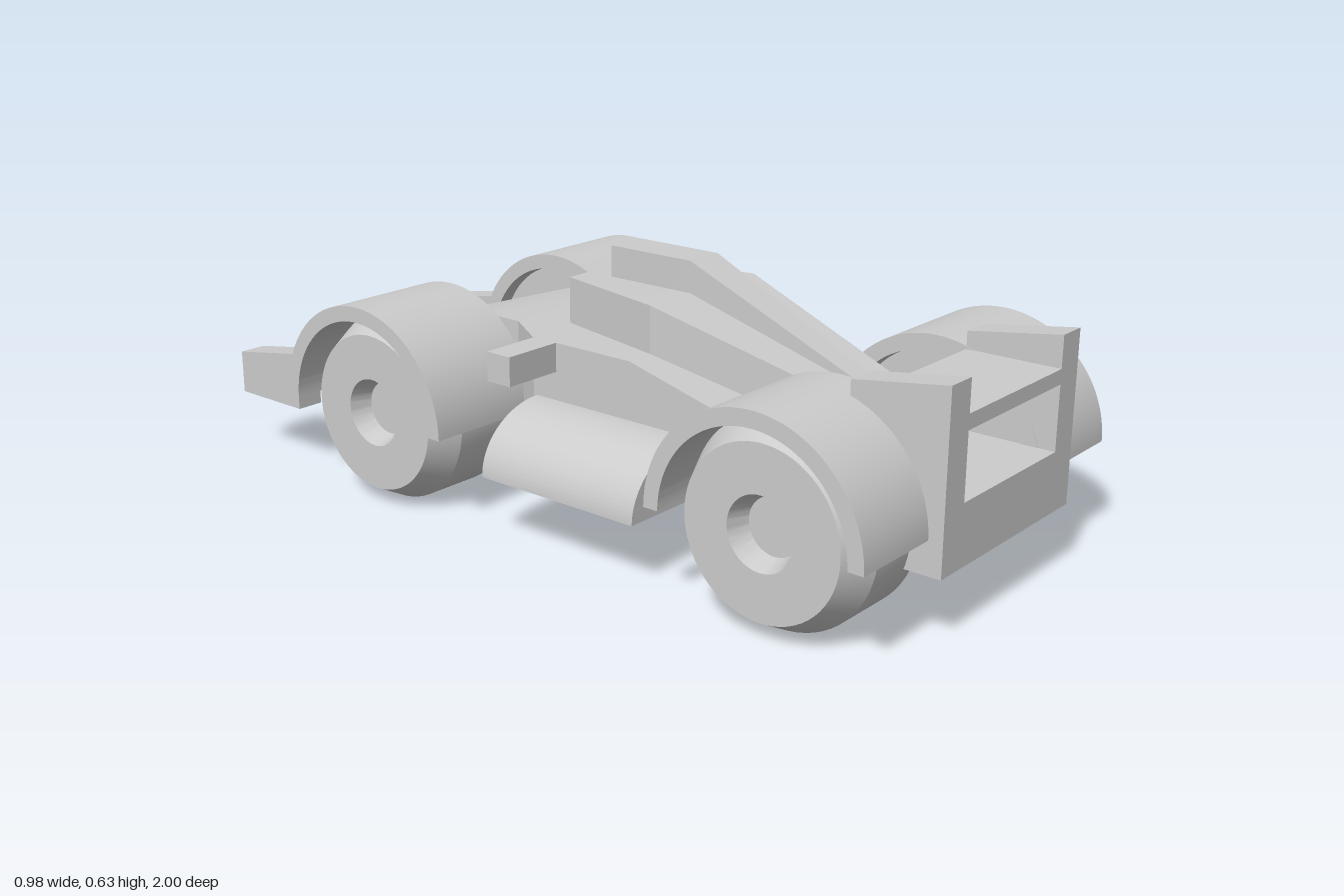
import * as THREE from 'three';
import { toCreasedNormals } from 'three/addons/utils/BufferGeometryUtils.js';

const grey = new THREE.MeshStandardMaterial({ color: 0xcccccc });
const FLOOR = 0.155, AXLE_Y = 0.23;

function part(parent, name, geometry) {
  const mesh = new THREE.Mesh(toCreasedNormals(geometry, 0.4), grey);
  mesh.name = name;
  parent.add(mesh);
  return mesh;
}

// Solid through rectangular sections [z, halfWidth, bottom, top], listed from +z to -z
function loft(sections) {
  const rings = sections.map(([z, w, b, t]) => [[-w, b, z], [w, b, z], [w, t, z], [-w, t, z]]);
  const pos = [];
  const quad = (a, b, c, d) => pos.push(...a, ...b, ...c, ...a, ...c, ...d);
  quad(...rings[0]);
  for (let i = 0; i < rings.length - 1; i++) {
    const p = rings[i], q = rings[i + 1];
    for (let k = 0; k < 4; k++) {
      const n = (k + 1) % 4;
      quad(p[k], q[k], q[n], p[n]);
    }
  }
  quad(...rings[rings.length - 1].slice().reverse());
  const g = new THREE.BufferGeometry();
  g.setAttribute('position', new THREE.Float32BufferAttribute(pos, 3));
  g.computeVertexNormals();
  return g;
}

// Extrude a side-on shape along x, from x0 to x1 (shape x becomes -z)
function acrossX(shape, x0, x1) {
  const g = new THREE.ExtrudeGeometry(shape, { depth: x1 - x0, bevelEnabled: false, curveSegments: 36 });
  return g.rotateY(Math.PI / 2).translate(x0, 0, 0);
}

const sideShape = (pts) => new THREE.Shape(pts.map(([z, y]) => new THREE.Vector2(-z, y)));

function box(x0, x1, y0, y1, z0, z1) {
  return new THREE.BoxGeometry(x1 - x0, y1 - y0, z1 - z0)
    .translate((x0 + x1) / 2, (y0 + y1) / 2, (z0 + z1) / 2);
}

function wheelGeometry() {
  // Chamfered tyre with a tapered hub recess
  const profile = [[0, 0.227], [0.228, 0.227], [0.228, 0.378], [0.19, 0.45], [0.082, 0.45], [0.064, 0.4], [0, 0.4]]
    .map(([r, x]) => new THREE.Vector2(r, x));
  return new THREE.LatheGeometry(profile, 64).rotateZ(-Math.PI / 2);
}

function fenderGeometry() {
  const s = new THREE.Shape();
  s.absarc(0, 0, 0.267, 0, Math.PI, false);
  s.absarc(0, 0, 0.23, Math.PI, 0, true);
  s.closePath();
  return acrossX(s, 0.187, 0.488);
}

function podGeometry() {
  // Rounded pod, quarter ellipse in section
  const s = new THREE.Shape();
  s.moveTo(0.24, FLOOR);
  s.lineTo(0.445, FLOOR);
  s.absellipse(0.26, FLOOR, 0.185, 0.15, 0, Math.PI / 2, false, 0);
  s.lineTo(0.24, FLOOR + 0.15);
  s.closePath();
  return new THREE.ExtrudeGeometry(s, { depth: 0.445, bevelEnabled: false, curveSegments: 24 })
    .translate(0, 0, -0.2225);
}

export function createModel() {
  const car = new THREE.Group();
  car.name = 'racingCar';

  // Main hull with sloping deck and nose
  part(car, 'body', loft([
    [1, 0.262, FLOOR, 0.295], [0.775, 0.262, FLOOR, 0.295], [0.2, 0.262, FLOOR, 0.442],
    [-0.09, 0.262, FLOOR, 0.442], [-0.21, 0.187, FLOOR, 0.442],
    [-0.32, 0.187, FLOOR, 0.442], [-0.855, 0.187, FLOOR, 0.27],
  ]));

  // Tapered cover on the deck and the ridge along it
  part(car, 'cockpitCover', loft([
    [0.775, 0.082, 0.28, 0.376], [0.2, 0.19, 0.28, 0.553], [-0.107, 0.117, 0.28, 0.553],
  ]));
  part(car, 'airScoop', loft([
    [0.63, 0.028, 0.4, 0.435], [0.2, 0.05, 0.4, 0.628], [-0.035, 0.05, 0.4, 0.628],
  ]));

  // Tall wing at the +z end
  part(car, 'tallWingSlat', box(-0.2, 0.2, 0.445, 0.479, 0.775, 1));
  // Low wing at the -z end
  part(car, 'lowWingBar', new THREE.CylinderGeometry(0.055, 0.055, 0.69, 32)
    .rotateZ(Math.PI / 2).scale(1, 0.82, 1).translate(0, 0.202, -0.91));

  const tallPlate = sideShape([[1, FLOOR], [1, 0.553], [0.775, 0.52], [0.775, FLOOR]]);
  const lowPlate = sideShape([[-0.775, FLOOR], [-0.775, 0.3], [-1, 0.263], [-1, FLOOR]]);
  for (const [side, s] of [['left', 1], ['right', -1]]) {
    const span = (a, b) => (s > 0 ? [a, b] : [-b, -a]);
    part(car, side + 'TallWingPlate', acrossX(tallPlate, ...span(0.189, 0.262)));
    part(car, side + 'LowWingPlate', acrossX(lowPlate, ...span(0.338, 0.407)));
    part(car, side + 'Mirror', box(...span(0.25, 0.412), 0.373, 0.442, -0.088, -0.018));

    // Parts symmetric in z are turned about to reach the other side
    const turn = s > 0 ? 0 : Math.PI;
    const pod = part(car, side + 'SidePod', podGeometry());
    pod.position.z = 0.1425;
    pod.rotation.y = turn;

    for (const [end, z] of [['Front', 0.7], ['Back', -0.44]]) {
      const corner = new THREE.Group();
      corner.name = side + end + 'WheelAssembly';
      corner.position.set(0, AXLE_Y, z);
      corner.rotation.y = turn;
      part(corner, 'wheel', wheelGeometry());
      part(corner, 'fender', fenderGeometry());
      car.add(corner);
    }
  }
  return car;
}
